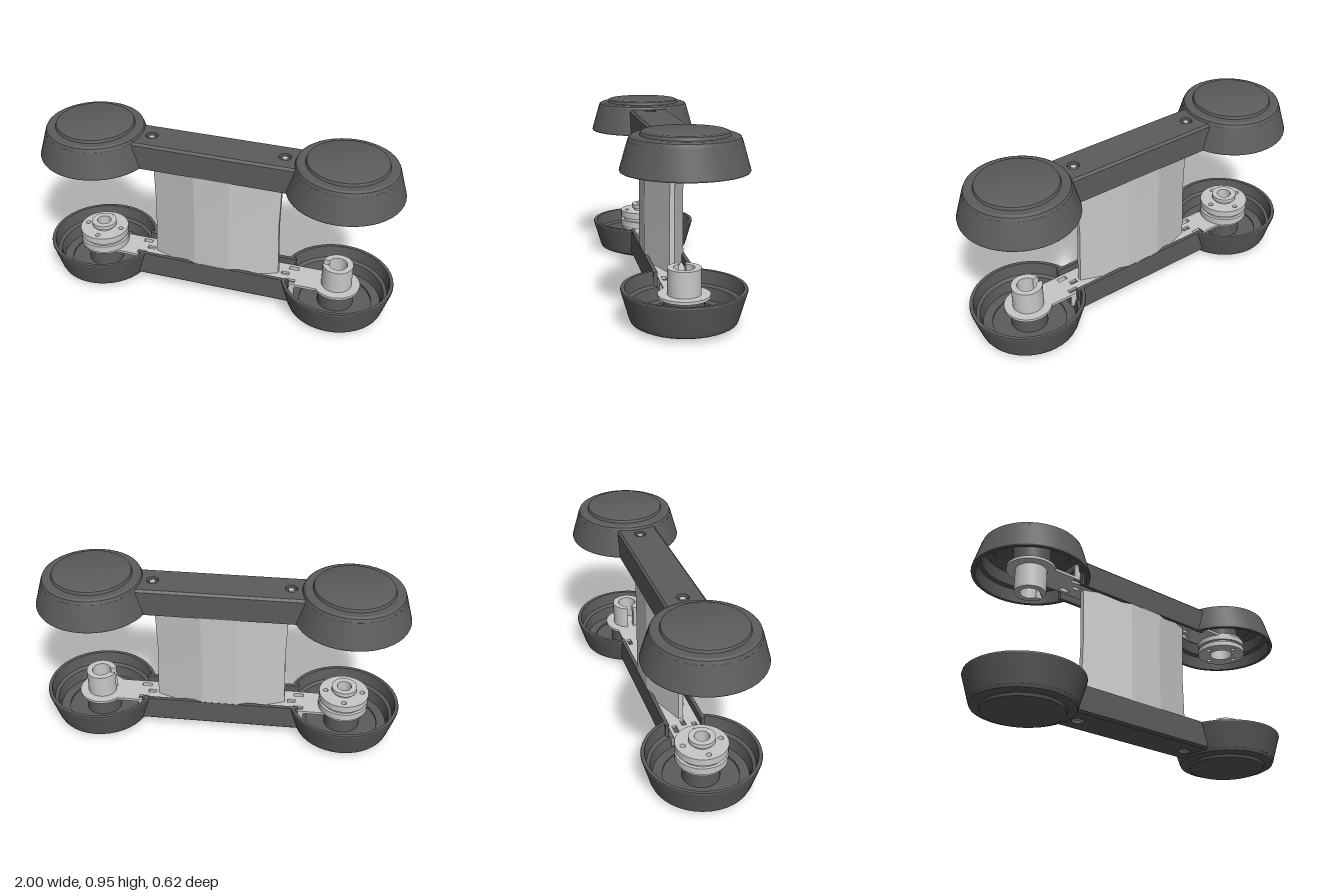
import * as THREE from 'three';
import { toCreasedNormals } from 'three/addons/utils/BufferGeometryUtils.js';

const HEIGHT = 0.952; // overall height
const CUP_X = 0.69;   // distance of the cups from the centre

const coverMat = new THREE.MeshStandardMaterial({ color: 0x5c5c5c });
coverMat.name = 'dark grey cover';
const metalMat = new THREE.MeshStandardMaterial({ color: 0xc8c8c8 });
metalMat.name = 'light grey metal';

function add(parent, name, geometry, material, x = 0, y = 0, z = 0) {
  const mesh = new THREE.Mesh(geometry, material);
  mesh.name = name;
  mesh.position.set(x, y, z);
  parent.add(mesh);
  return mesh;
}

// Turned part with sharp profile edges
function lathe(points, start = 0, length = Math.PI * 2) {
  const pts = points.map(([r, y]) => new THREE.Vector2(r, y));
  return toCreasedNormals(new THREE.LatheGeometry(pts, 40, start, length), 0.4);
}

// Flat outline (x, -z) extruded upwards
function slab(shape, depth) {
  const g = new THREE.ExtrudeGeometry(shape, { depth, bevelEnabled: false, curveSegments: 20 });
  g.rotateX(-Math.PI / 2);
  return toCreasedNormals(g, 0.4);
}

function circle(r, x = 0, y = 0) {
  return new THREE.Path().absarc(x, y, r, 0, Math.PI * 2, true);
}

function rect(x, y, w, h) {
  return new THREE.Path([[-1, -1], [-1, 1], [1, 1], [1, -1]]
    .map(([a, b]) => new THREE.Vector2(x + a * w / 2, y + b * h / 2)));
}

// Hollow cup with a gap in the wall where the arm enters
function addCup(parent, side) {
  const cup = new THREE.Group();
  cup.name = side > 0 ? 'leftCup' : 'rightCup';
  cup.position.x = side * CUP_X;
  if (side < 0) cup.rotation.y = Math.PI;
  add(cup, 'cupBase', lathe([[0, 0], [0.198, 0], [0.21, 0.005], [0.215, 0.02], [0.25, 0.02],
    [0.263, 0.027], [0.27, 0.045], [0.2, 0.045], [0.2, 0.035], [0, 0.035]]), coverMat);
  const gap = 0.34;
  add(cup, 'cupWall', lathe([[0.25, 0.044], [0.27, 0.044], [0.31, 0.183], [0.308, 0.19], [0.29, 0.19],
    [0.28, 0.12], [0.262, 0.11], [0.25, 0.044]], Math.PI * 1.5 + gap, Math.PI * 2 - 2 * gap), coverMat);
  add(cup, 'cupPost', new THREE.CylinderGeometry(0.1, 0.1, 0.11, 32), coverMat, 0, 0.088);
  parent.add(cup);
}

// Channel-shaped arm with recessed screws in its outer face
function addArm(parent) {
  const floor = new THREE.Shape([[-0.45, -0.09], [0.45, -0.09], [0.45, 0.09], [-0.45, 0.09]]
    .map(p => new THREE.Vector2(...p)));
  for (const s of [-1, 1]) floor.holes.push(circle(0.033, s * 0.365));
  add(parent, 'armFloor', slab(floor, 0.04), coverMat, 0, 0.04);
  const wall = new THREE.Shape([[0.09, 0.04], [0.098, 0.04], [0.11, 0.052], [0.11, 0.19], [0.09, 0.19]]
    .map(p => new THREE.Vector2(...p)));
  for (const s of [-1, 1]) {
    const g = new THREE.ExtrudeGeometry(wall, { depth: 0.88, bevelEnabled: false });
    g.translate(0, 0, -0.44);
    g.rotateY(s * Math.PI / 2);
    add(parent, 'armWall', g, coverMat);
    add(parent, 'screwSeat', new THREE.CylinderGeometry(0.034, 0.034, 0.02, 24), coverMat, s * 0.365, 0.07);
    add(parent, 'screw', new THREE.CylinderGeometry(0.016, 0.016, 0.03, 16), metalMat, s * 0.365, 0.06);
  }
}

// Metal strip with round ends, slots and side flanges
function addStrip(parent) {
  const r = 0.13, a = Math.asin(0.085 / r);
  const shape = new THREE.Shape();
  shape.absarc(CUP_X, 0, r, -Math.PI + a, Math.PI - a, false);
  shape.absarc(-CUP_X, 0, r, a, Math.PI * 2 - a, false);
  shape.closePath();
  for (const s of [-1, 1]) {
    shape.holes.push(rect(s * 0.44, 0.055, 0.055, 0.025), rect(s * 0.44, -0.055, 0.055, 0.025),
      rect(s * 0.4, 0, 0.045, 0.025));
    add(parent, 'stripFlange', new THREE.BoxGeometry(0.94, 0.075, 0.012), metalMat, 0, 0.105, s * 0.078);
  }
  add(parent, 'strip', slab(shape, 0.015), metalMat, 0, 0.14);
}

// Split socket, its slit facing the middle
function addSocket(parent) {
  const R = 0.084, r = 0.052, w = 0.018;
  const A = Math.asin(w / R), b = Math.asin(w / r);
  const shape = new THREE.Shape();
  shape.absarc(0, 0, R, -Math.PI + A, Math.PI - A, false);
  shape.absarc(0, 0, r, Math.PI - b, -Math.PI + b, true);
  shape.closePath();
  add(parent, 'socket', slab(shape, 0.132), metalMat, CUP_X, 0.155);
}

// Grooved hub: two drilled discs around a narrower core
function addHub(parent, top, boss) {
  const hub = new THREE.Group();
  hub.name = 'hub';
  hub.position.x = -CUP_X;
  const bore = boss ? 0.04 : 0.065;
  const disc = (radius, hole, bolts) => {
    const s = new THREE.Shape().absarc(0, 0, radius, 0, Math.PI * 2, false);
    s.holes.push(circle(hole));
    for (let i = 0; bolts && i < 4; i++) {
      s.holes.push(circle(0.014, 0.102 * Math.cos(i * Math.PI / 2), 0.102 * Math.sin(i * Math.PI / 2)));
    }
    return s;
  };
  const h = top - 0.155;
  add(hub, 'lowerDisc', slab(disc(0.138, bore), h * 0.4), metalMat, 0, 0.155);
  add(hub, 'hubCore', slab(disc(0.122, bore), h * 0.2), metalMat, 0, 0.155 + h * 0.4);
  add(hub, 'upperDisc', slab(disc(0.138, bore, true), h * 0.4), metalMat, 0, 0.155 + h * 0.6);
  if (boss) {
    add(hub, 'bossNeck', slab(disc(0.058, bore), 0.015), metalMat, 0, top);
    add(hub, 'bossRing', slab(disc(0.07, bore), 0.024), metalMat, 0, top + 0.014);
  }
  parent.add(hub);
}

function makeHalf(name, hubTop, boss) {
  const half = new THREE.Group();
  half.name = name;
  addCup(half, 1);
  addCup(half, -1);
  addArm(half);
  addStrip(half);
  addSocket(half);
  addHub(half, hubTop, boss);
  return half;
}

// Six-sided upright, slightly waisted at mid height
function makeColumn() {
  const levels = [[0.15, 1], [HEIGHT / 2, 0.975], [HEIGHT - 0.15, 1]];
  const outline = [[0.362, 0.013], [0.1, 0.109], [-0.1, 0.109], [-0.362, 0.013],
    [-0.362, -0.013], [-0.1, -0.109], [0.1, -0.109], [0.362, -0.013]];
  const n = outline.length, pos = [], idx = [];
  for (const [y, k] of levels) for (const [x, z] of outline) pos.push(x * k, y, z * k);
  for (let l = 0; l < 2; l++) {
    for (let i = 0; i < n; i++) {
      const a = l * n + i, b = l * n + (i + 1) % n;
      idx.push(a, a + n, b, b, a + n, b + n);
    }
  }
  for (let i = 1; i < n - 1; i++) {
    idx.push(0, i, i + 1, 2 * n, 2 * n + i + 1, 2 * n + i);
  }
  const g = new THREE.BufferGeometry();
  g.setAttribute('position', new THREE.Float32BufferAttribute(pos, 3));
  g.setIndex(idx);
  return toCreasedNormals(g, 0.2);
}

export function createModel() {
  const model = new THREE.Group();
  model.name = 'doubleLink';
  model.add(makeHalf('lowerLink', 0.252, true));
  // Upper link is the lower one turned over
  const upper = makeHalf('upperLink', 0.223, false);
  upper.rotation.z = Math.PI;
  upper.position.y = HEIGHT;
  model.add(upper);
  add(model, 'column', makeColumn(), metalMat);
  return model;
}
